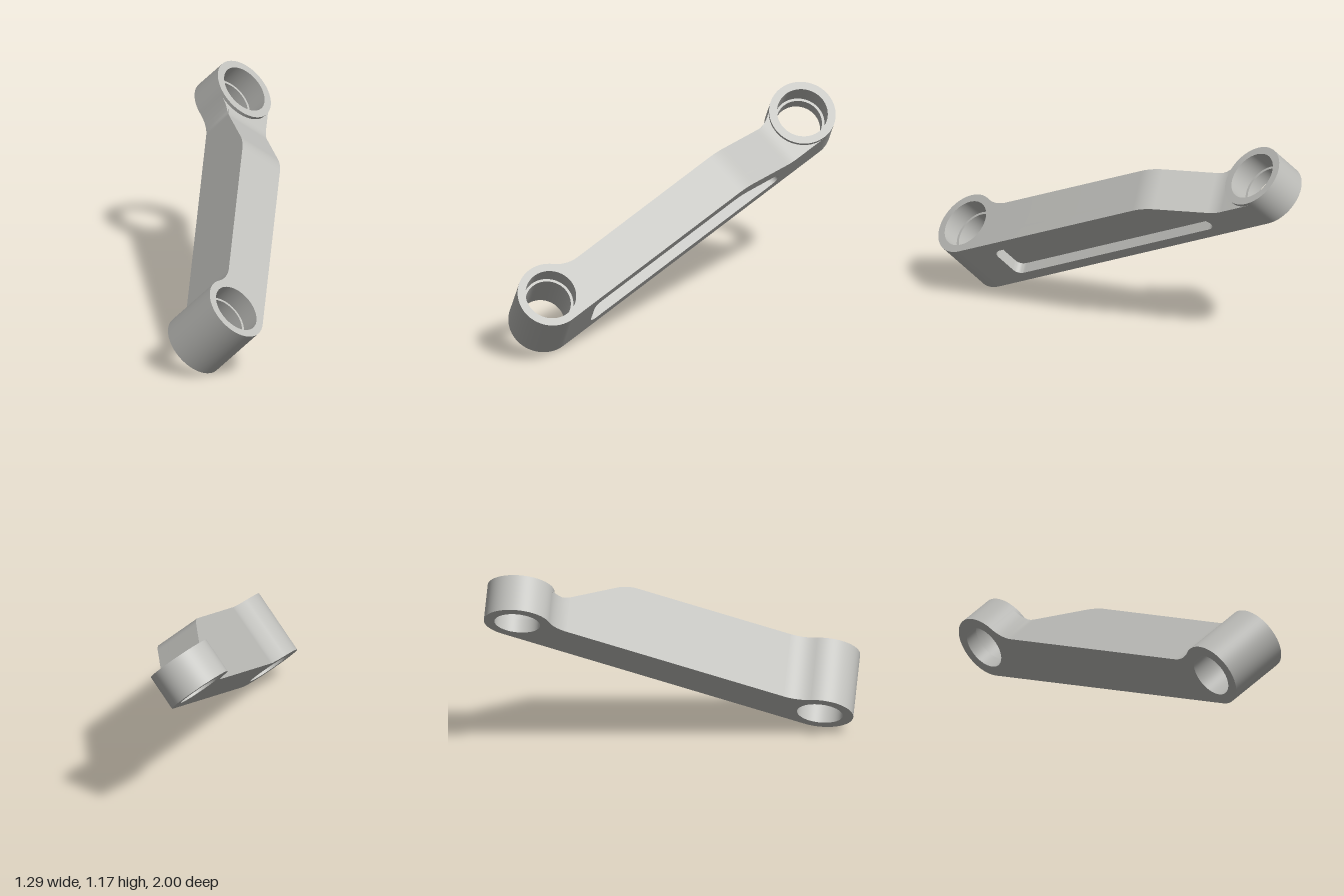
import * as THREE from 'three';
import { toCreasedNormals } from 'three/addons/utils/BufferGeometryUtils.js';

// Local frame: x runs along the arm, y across it, z along the bore axes.
const LENGTH = 1.939, R = 0.19, BORE = 0.145, LIP = 0.13;
const TALL = 0.385, SHORT = 0.215, STEP = 0.195;
const KINK = 1.32, FOOT = 1.7;
const INNER = 0.08, FLOOR = -0.125;

const metal = new THREE.MeshStandardMaterial({ color: 0xc0c0bc });
metal.name = 'satin grey metal';

function addMesh(parent, name, geometry) {
  const mesh = new THREE.Mesh(toCreasedNormals(geometry, 0.5), metal);
  mesh.name = name;
  parent.add(mesh);
  return mesh;
}

// Polygon of [x, y, cornerRadius] with rounded corners
function roundedPath(path, corners) {
  const n = corners.length;
  const at = (i) => new THREE.Vector2(corners[(i + n) % n][0], corners[(i + n) % n][1]);
  corners.forEach(([x, y, r], i) => {
    const p = at(i);
    const a = p.clone().add(at(i - 1).sub(p).setLength(r || 1e-9));
    const b = p.clone().add(at(i + 1).sub(p).setLength(r || 1e-9));
    if (!r) { i ? path.lineTo(x, y) : path.moveTo(x, y); return; }
    i ? path.lineTo(a.x, a.y) : path.moveTo(a.x, a.y);
    path.quadraticCurveTo(x, y, b.x, b.y);
  });
  path.closePath();
  return path;
}

// Ring with a bore that narrows at a shoulder
function boss(height, shoulder) {
  const points = [
    [R, 0], [R, height], [BORE, height], [BORE, height - shoulder],
    [LIP, height - shoulder], [LIP, 0], [R, 0],
  ].map(([x, y]) => new THREE.Vector2(x, y));
  return new THREE.LatheGeometry(points, 72).rotateX(Math.PI / 2);
}

// Side profile of the arm, extruded across its width; ends follow the bosses
function armLayer(yTop, yBottom, pocket) {
  const shape = roundedPath(new THREE.Shape(), [
    [0, 0, 0], [LENGTH, 0, 0], [LENGTH, STEP, 0],
    [FOOT, STEP, 0.045], [KINK, TALL, 0.07], [0, TALL, 0],
  ]);
  if (pocket) shape.holes.push(pocket);
  const geometry = new THREE.ExtrudeGeometry(shape, {
    depth: yTop - yBottom, steps: 12, bevelEnabled: false, curveSegments: 10,
  });
  geometry.rotateX(Math.PI / 2).translate(0, yTop, 0);
  const pos = geometry.attributes.position;
  for (let i = 0; i < pos.count; i++) {
    const x = pos.getX(i), y = pos.getY(i);
    const inset = Math.sqrt(Math.max(0, 0.186 ** 2 - y * y));
    if (x < 0.001) pos.setX(i, inset);
    if (x > LENGTH - 0.001) pos.setX(i, LENGTH - inset);
  }
  return geometry;
}

// Concave blend between the arm's inner side and a boss
function fillet(back) {
  const r = 0.2, cy = INNER + r, cx = Math.sqrt((R + r) ** 2 - cy * cy);
  const end = Math.atan2(-cy, -cx), n = 12;
  const points = [];
  for (let i = 0; i <= n; i++) points.push([0.15 + (cx - 0.15) * i / n, INNER - 0.002]);
  for (let i = 0; i <= n; i++) {
    const a = -Math.PI / 2 + (end + Math.PI / 2) * i / n;
    points.push([cx + r * Math.cos(a), cy + r * Math.sin(a)]);
  }
  const shape = new THREE.Shape(points.map(([x, y]) => new THREE.Vector2(back ? LENGTH - x : x, y)));
  const geometry = new THREE.ExtrudeGeometry(shape, { depth: back ? STEP : TALL, bevelEnabled: false });
  if (back) {
    // Follow the sloping top of the arm
    const pos = geometry.attributes.position;
    for (let i = 0; i < pos.count; i++) {
      if (pos.getZ(i) < 0.01) continue;
      const slope = (TALL - STEP) / (FOOT - KINK);
      pos.setZ(i, STEP + Math.max(0, FOOT - pos.getX(i)) * slope);
    }
  }
  return geometry;
}

export function createModel() {
  const model = new THREE.Group();
  model.name = 'crankLink';

  // Bosses at both ends
  addMesh(model, 'frontBoss', boss(TALL, 0.115));
  addMesh(model, 'backBoss', boss(SHORT, 0.135)).position.x = LENGTH;

  // Arm, with a shallow pocket in its outer side
  const pocket = roundedPath(new THREE.Path(), [
    [0.187, 0.068, 0.05], [1.61, 0.068, 0.05], [1.61, 0.155, 0.05],
    [1.29, 0.31, 0.07], [0.187, 0.31, 0.06],
  ]);
  addMesh(model, 'armWeb', armLayer(INNER, FLOOR));
  addMesh(model, 'armPocketRim', armLayer(FLOOR, -R, pocket));
  addMesh(model, 'frontFillet', fillet(false));
  addMesh(model, 'backFillet', fillet(true));

  // Tilt the link so that the bores lean 45 degrees
  const k = Math.SQRT1_2;
  const along = new THREE.Vector3(-0.549 * k, 0.549 * k, -0.8355).normalize();
  const up = new THREE.Vector3(k, k, 0);
  const across = new THREE.Vector3().crossVectors(up, along);
  const matrix = new THREE.Matrix4().makeBasis(along, across, up).setPosition(0.239, 0.137, 0.81);
  model.applyMatrix4(matrix);
  return model;
}
